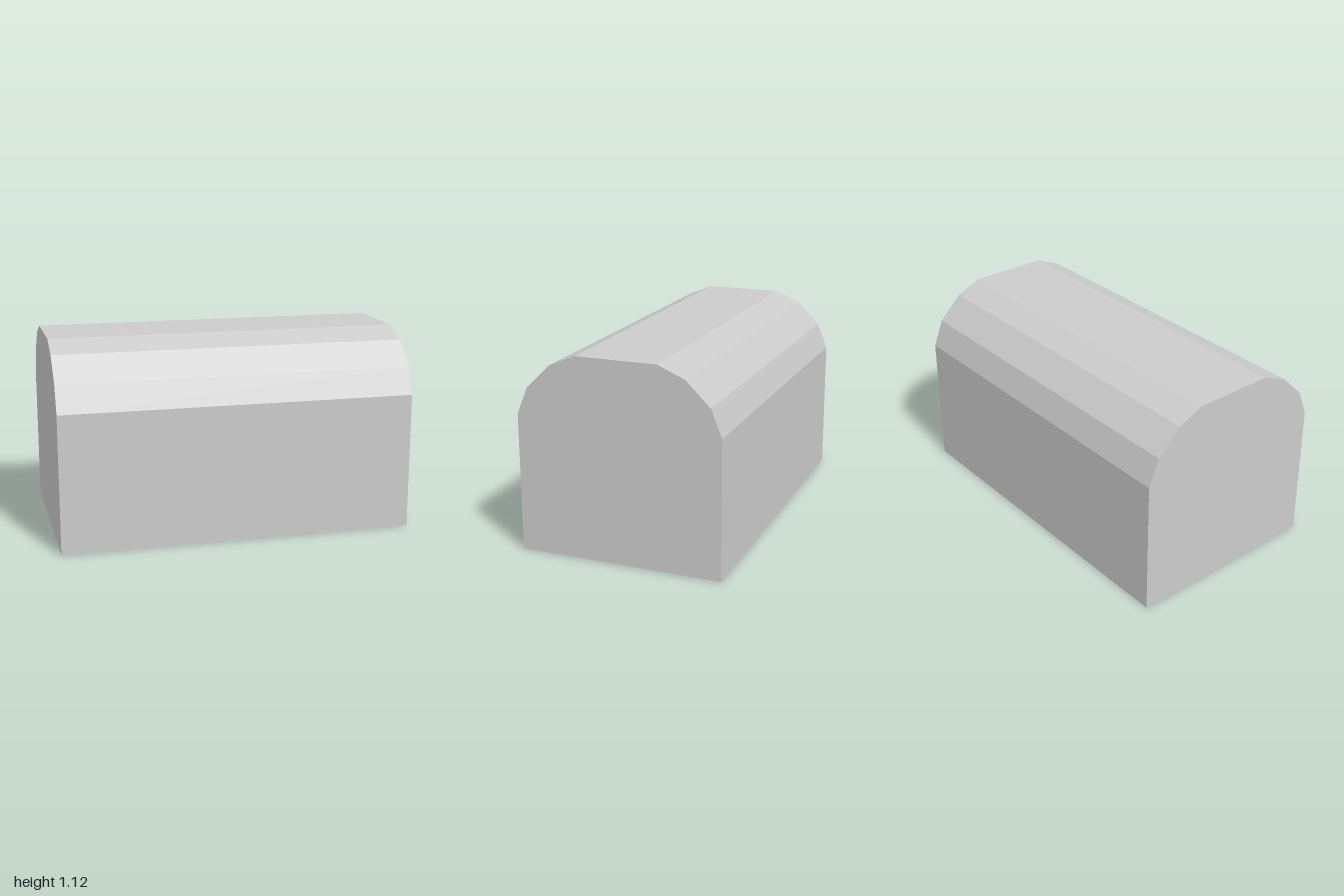
import * as THREE from 'three';

export function createModel() {
  const group = new THREE.Group();
  const length = 2;

  // Half of the arched cross-section (half-depth, height), mirrored to close it
  const half = [[0.575, 0], [0.575, 0.774], [0.514, 0.925], [0.378, 1.058], [0.228, 1.121]];
  const right = half.map(([d, y]) => new THREE.Vector2(d, y));
  const left = half.map(([d, y]) => new THREE.Vector2(-d, y)).reverse();

  // Solid vaulted block, extruded along x
  const geometry = new THREE.ExtrudeGeometry(new THREE.Shape([...right, ...left]), {
    depth: length,
    bevelEnabled: false,
  });
  geometry.translate(0, 0, -length / 2);
  geometry.rotateY(Math.PI / 2);

  const body = new THREE.Mesh(
    geometry,
    new THREE.MeshStandardMaterial({ color: 0xcccccc, flatShading: true }),
  );
  body.name = 'vaultedBody';
  group.add(body);
  return group;
}
